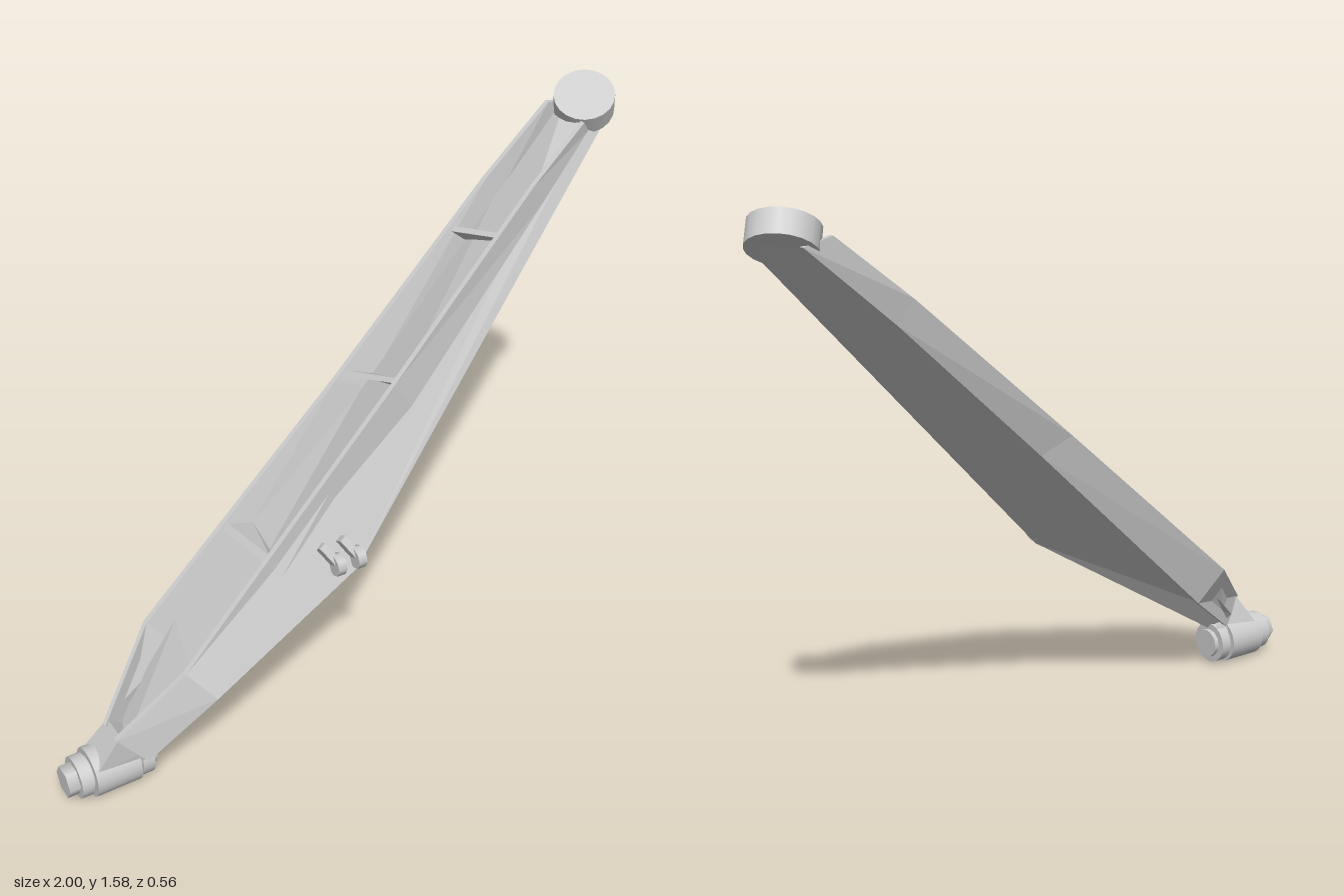
import * as THREE from 'three';

const V = (x, y, z) => new THREE.Vector3(x, y, z);
const line = (...pts) => pts.map((p) => V(...p));

// Long edges of the beam, from the bushing end to the pad end
const frontTop = line([-0.865, 0.21, 0.195], [-0.67, 0.385, 0.24], [0.06, 0.97, 0.11], [0.62, 1.365, -0.04], [0.84, 1.485, -0.105]);
const frontLow = line([-0.79, 0.125, 0.225], [-0.6, 0.297, 0.28], [0.125, 0.887, 0.105], [0.67, 1.305, -0.052], [0.87, 1.45, -0.12]);
const backTop = line([-0.865, 0.21, 0.11], [-0.66, 0.375, -0.035], [0, 0.905, -0.11], [0.57, 1.34, -0.215], [0.81, 1.51, -0.25]);
const backLow = line([-0.79, 0.13, 0.08], [-0.58, 0.275, -0.008], [0.1, 0.86, -0.1], [0.62, 1.28, -0.213], [0.9, 1.49, -0.27]);
// Back edge of the flat belly plate, and the upper edge of its front lip
const bellyBack = line([-0.79, 0.176, 0.06], [-0.58, 0.363, -0.005], [0.1, 0.87, -0.095], [0.62, 1.289, -0.208], [0.92, 1.53, -0.275]);
const lipTop = line([-0.6, 0.297, 0.28], [0.125, 0.895, 0.063], [0.67, 1.315, -0.089], [0.87, 1.455, -0.135]);
const neckPoint = V(-0.77, 0.11, 0.13);
const bellyPoint = V(-0.12, 0.5, 0.215);
const tipFront = V(0.93, 1.445, -0.133);
const tipEnd = V(0.985, 1.51, -0.2);

// Point on a long edge at station u (0 to 4)
function at(edge, u) {
  const i = Math.min(Math.floor(u), edge.length - 2);
  return edge[i].clone().lerp(edge[i + 1], u - i);
}

function faces(tris) {
  const g = new THREE.BufferGeometry().setFromPoints(tris.flat());
  g.computeVertexNormals();
  return g;
}

// Fan of faces from one point across a row of points
const fan = (hub, row) => faces(row.slice(1).map((p, i) => [hub, row[i], p]));

// Joins four-cornered sections into a closed, capped solid
function loft(sections) {
  const tris = [];
  for (let i = 0; i < sections.length - 1; i++) {
    const a = sections[i], b = sections[i + 1];
    for (let k = 0; k < 4; k++) {
      const n = (k + 1) % 4;
      tris.push([a[k], a[n], b[n]], [a[k], b[n], b[k]]);
    }
  }
  const s = sections[0], e = sections[sections.length - 1];
  tris.push([s[0], s[2], s[1]], [s[0], s[3], s[2]], [e[0], e[1], e[2]], [e[0], e[2], e[3]]);
  return faces(tris);
}

export function createModel() {
  const model = new THREE.Group();
  const metal = new THREE.MeshStandardMaterial({ color: 0xcccccc, side: THREE.DoubleSide });
  metal.name = 'light grey metal';

  function add(name, geometry, parent = model) {
    const mesh = new THREE.Mesh(geometry, metal);
    mesh.name = name;
    parent.add(mesh);
    return mesh;
  }

  // Side walls of the open channel
  function wall(name, top, low, dz) {
    const inner = (p) => V(p.x, p.y, p.z + dz);
    add(name, loft(top.map((t, i) => [t, low[i], inner(low[i]), inner(t)])));
  }
  wall('frontWall', frontTop, frontLow, -0.016);
  wall('backWall', backTop, backLow, 0.016);

  // Channel floor, high along the front wall and low along the back wall
  const floorFront = frontTop.map((t, i) => t.clone().lerp(frontLow[i], 0.3).add(V(0, 0, -0.008)));
  const floor = [];
  for (let i = 0; i < 4; i++) {
    const [a, b, c, d] = [floorFront[i], floorFront[i + 1], bellyBack[i + 1], bellyBack[i]];
    floor.push([a, b, c], [a, c, d]);
  }
  add('channelFloor', faces(floor));

  // Flat belly plate with its front lip and nose
  add('bellyPlate', fan(bellyPoint, [neckPoint, ...bellyBack, tipEnd, tipFront]));
  add('bellyLip', fan(bellyPoint, [tipFront, ...lipTop.slice().reverse()]));
  add('bellyNose', faces([
    [frontLow[1], neckPoint, bellyPoint], [frontLow[0], neckPoint, frontLow[1]],
  ]));

  // Cross ribs inside the channel
  for (const u of [1.38, 2.02, 2.74]) {
    const section = (v) => {
      const front = at(frontTop, v), floorF = at(floorFront, v), back = at(backTop, v), floorB = at(bellyBack, v);
      front.lerp(back, 0.06).lerp(floorF, 0.15);
      back.lerp(front, 0.06).lerp(floorB, 0.15);
      return [front, floorF, floorB, back];
    };
    add('crossRib', loft([section(u), section(u + 0.025)]));
  }

  // Neck joining the channel to the bushing
  add('neck', loft([
    line([-0.85, 0.215, 0.105], [-0.76, 0.13, 0.09], [-0.76, 0.13, 0.19], [-0.85, 0.215, 0.19]),
    line([-0.92, 0.11, 0.07], [-0.8, 0.07, 0.07], [-0.8, 0.07, 0.18], [-0.92, 0.11, 0.18]),
  ]));

  // Bushing with collars and bolt ends, lying along x
  const bushing = new THREE.Group();
  bushing.name = 'bushing';
  bushing.position.set(0, 0.072, 0.123);
  model.add(bushing);
  const rings = [
    ['boltHead', -1, -0.965, 0.046, 6], ['outerCollar', -0.968, -0.934, 0.06, 24], ['outerGroove', -0.94, -0.92, 0.05, 24],
    ['sleeve', -0.928, -0.797, 0.071, 24], ['innerGroove', -0.8, -0.785, 0.05, 24],
    ['innerCollar', -0.79, -0.755, 0.064, 24], ['boltEnd', -0.757, -0.74, 0.045, 12],
  ];
  for (const [name, x0, x1, r, sides] of rings) {
    const g = new THREE.CylinderGeometry(r, r, x1 - x0, sides).rotateZ(Math.PI / 2);
    add(name, g, bushing).position.x = (x0 + x1) / 2;
  }

  // Tilted round pad at the upper end
  const axis = V(-0.36, 0.84, 0.4).normalize();
  const pad = add('endPad', new THREE.CylinderGeometry(0.088, 0.088, 0.066, 20));
  pad.quaternion.setFromUnitVectors(V(0, 1, 0), axis);
  pad.position.set(0.894, 1.534, -0.178).addScaledVector(axis, -0.033);

  // Pair of small lugs on the belly lip
  for (const x of [-0.187, -0.122]) {
    const lug = new THREE.Group();
    lug.name = 'lug';
    lug.position.set(x, 0.541, 0.218);
    model.add(lug);
    add('lugPlate', new THREE.CylinderGeometry(0.032, 0.032, 0.026, 8).rotateZ(Math.PI / 2), lug);
    const arm = add('lugArm', new THREE.BoxGeometry(0.022, 0.08, 0.03), lug);
    arm.position.set(-0.016, 0.026, -0.015);
    arm.rotation.set(-0.5, 0, 0.5);
  }

  return model;
}
